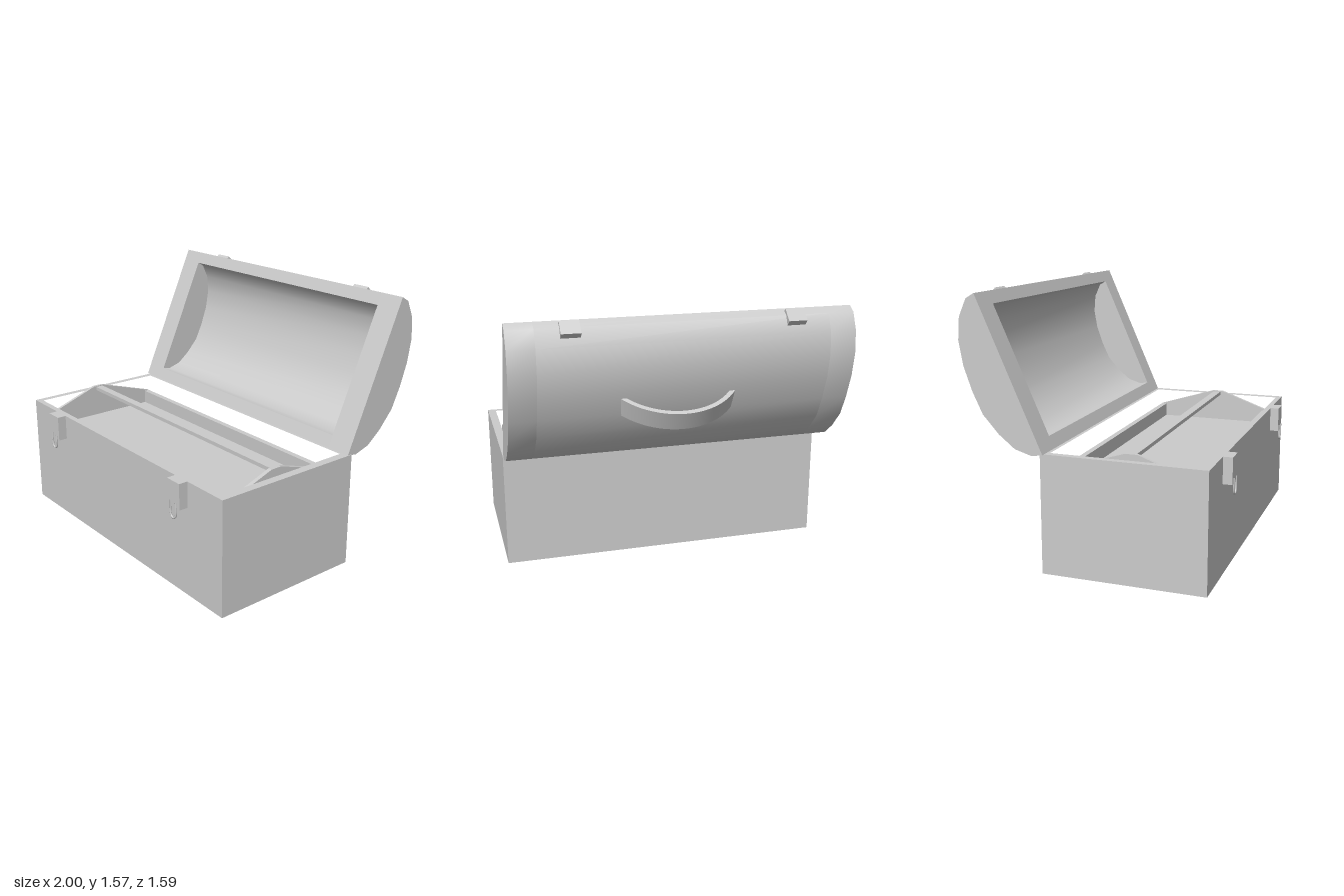
import * as THREE from 'three';
import { toCreasedNormals } from 'three/addons/utils/BufferGeometryUtils.js';

const material = new THREE.MeshStandardMaterial({ color: 0xcccccc });

function add(parent, name, geometry) {
  const mesh = new THREE.Mesh(geometry, material);
  mesh.name = name;
  parent.add(mesh);
  return mesh;
}

// Box given by its limits on each axis
function box(x0, x1, y0, y1, z0, z1) {
  return new THREE.BoxGeometry(x1 - x0, y1 - y0, z1 - z0)
    .translate((x0 + x1) / 2, (y0 + y1) / 2, (z0 + z1) / 2);
}

// Side profile of [z, y] points, extruded along x
function prism(points, x0, x1) {
  const shape = new THREE.Shape(points.map(([z, y]) => new THREE.Vector2(-z, y)));
  return new THREE.ExtrudeGeometry(shape, { depth: x1 - x0, bevelEnabled: false })
    .rotateY(Math.PI / 2).translate(x0, 0, 0);
}

const smooth = (geometry) => toCreasedNormals(geometry, 0.7);

export function createModel() {
  const model = new THREE.Group();
  model.name = 'toolbox';

  // Open box: rectangular wall ring and floor
  const body = new THREE.Group();
  body.name = 'body';
  model.add(body);
  const rect = (x0, x1, z0, z1) => [[x0, z0], [x1, z0], [x1, z1], [x0, z1]].map(([x, z]) => new THREE.Vector2(x, -z));
  const ring = new THREE.Shape(rect(-0.98, 0.995, -0.225, 0.73));
  ring.holes.push(new THREE.Path(rect(-0.94, 0.945, -0.18, 0.695)));
  add(body, 'walls', new THREE.ExtrudeGeometry(ring, { depth: 0.695, bevelEnabled: false }).rotateX(-Math.PI / 2));
  add(body, 'floor', box(-0.96, 0.97, 0, 0.04, -0.2, 0.71));

  // Lift-out tray: shallow pan, gabled ends and a carrying rail
  const tray = new THREE.Group();
  tray.name = 'tray';
  model.add(tray);
  add(tray, 'trayFloor', box(-0.91, 0.91, 0.5, 0.52, -0.135, 0.64));
  add(tray, 'trayFront', box(-0.9, 0.89, 0.5, 0.605, 0.61, 0.64));
  add(tray, 'trayBack', box(-0.9, 0.89, 0.5, 0.605, -0.135, -0.1));
  add(tray, 'trayRail', box(-0.9, 0.89, 0.697, 0.72, 0.255, 0.305));
  const gable = [[0.64, 0.5], [0.64, 0.61], [0.32, 0.725], [0.25, 0.725], [-0.135, 0.605], [-0.135, 0.5]];
  for (const [x0, x1] of [[-0.92, -0.9], [0.89, 0.915]]) add(tray, 'trayEnd', prism(gable, x0, x1));

  // Hollow domed lid, tilted open: arched shell between two solid ends
  const lid = new THREE.Group();
  lid.name = 'lid';
  model.add(lid);
  const arch = [[-0.585, 1.56], [-0.635, 1.53], [-0.68, 1.43], [-0.69, 1.3], [-0.665, 1.16], [-0.615, 1.02],
    [-0.555, 0.895], [-0.46, 0.79], [-0.365, 0.715], [-0.265, 0.685], [-0.2, 0.695]];
  const cz = -0.3925, cy = 1.1275, s = 0.84;
  const inner = arch.map(([z, y]) => [cz + (z - cz) * s, cy + (y - cy) * s]);
  add(lid, 'lidShell', smooth(prism([...arch, ...inner.reverse()], -0.845, 0.835)));
  add(lid, 'lidEnd', smooth(prism(arch, -1, -0.845)));
  add(lid, 'lidEnd', smooth(prism(arch, 0.835, 0.99)));

  // Arched carrying handle standing out from the dome
  const arc = new THREE.Shape();
  const a = 0.9;
  arc.absarc(0, 0, 0.424, Math.PI / 2 - a, Math.PI / 2 + a, false);
  arc.absarc(0, 0, 0.398, Math.PI / 2 + a, Math.PI / 2 - a, true);
  const handle = add(lid, 'handle', smooth(
    new THREE.ExtrudeGeometry(arc, { depth: 0.114, bevelEnabled: false, curveSegments: 16 }).translate(0, -0.274, -0.057)));
  handle.position.set(0.045, 1.065, -0.635);
  handle.rotation.x = Math.atan2(-0.9, -0.434);

  // Latches on the body, with hanging loops, and their catches on the lid
  const catchProfile = [[-0.598, 1.543], [-0.62, 1.565], [-0.682, 1.505], [-0.655, 1.472]];
  for (const x of [-0.64, 0.645]) {
    add(body, 'latch', box(x - 0.055, x + 0.055, 0.54, 0.695, 0.725, 0.785));
    const path = new THREE.CatmullRomCurve3([[-0.025, 0.575], [-0.025, 0.51], [-0.018, 0.487], [0, 0.476],
      [0.018, 0.487], [0.025, 0.51], [0.025, 0.575]].map(([dx, y]) => new THREE.Vector3(x + dx, y, 0.786)));
    add(body, 'latchLoop', new THREE.TubeGeometry(path, 24, 0.006, 8));
    add(lid, 'latchCatch', prism(catchProfile, x - 0.055, x + 0.055));
  }

  return model;
}
